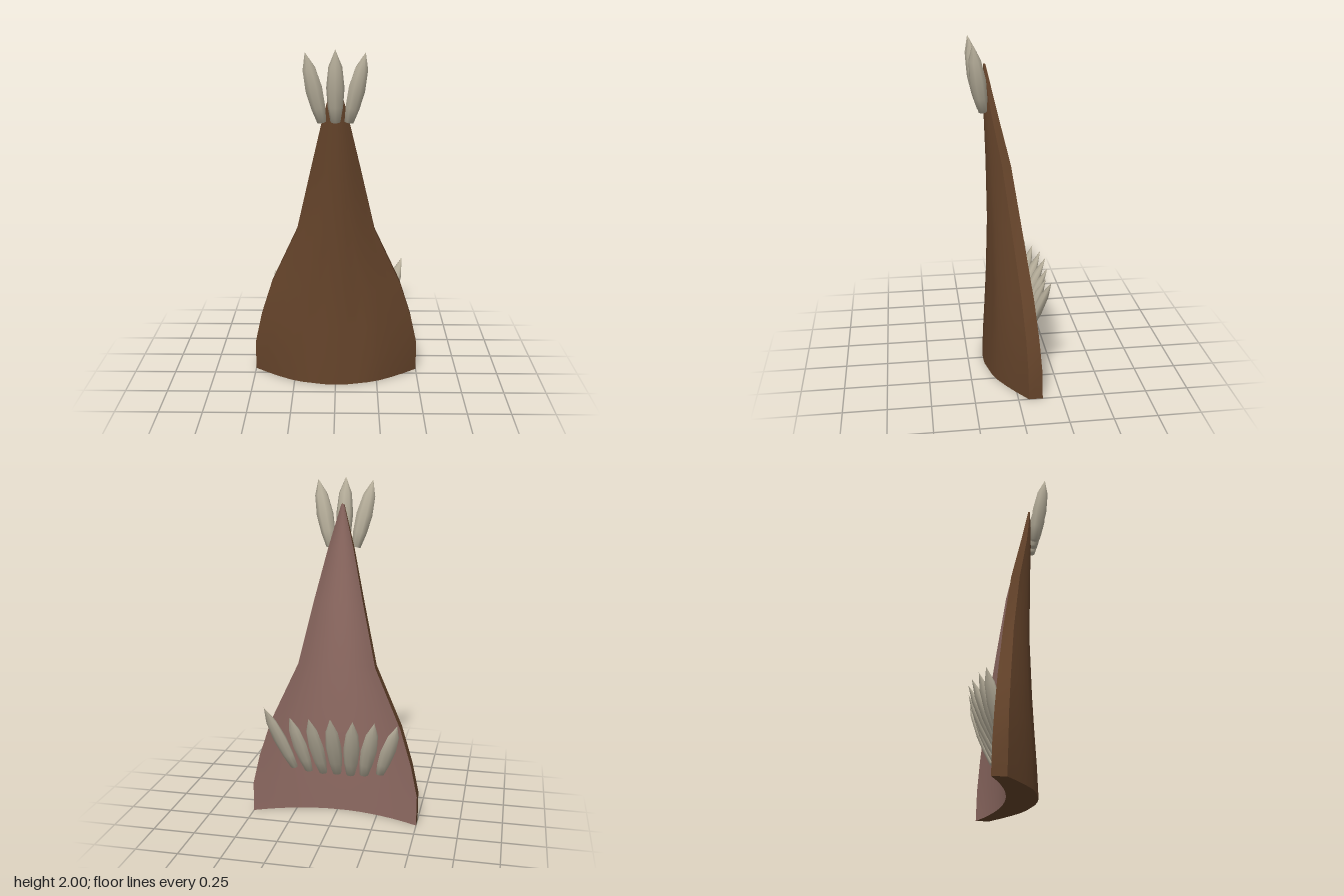
import * as THREE from 'three';

const V = (x, y, z) => new THREE.Vector3(x, y, z);

// Height, half width, front centre z, back centre z, back edge z, edge thickness, groove depth
const LEVELS = [
  [0, 0.5, 0.157, -0.02, -0.14, 0.08, 0.003],
  [0.18, 0.5, 0.15, -0.022, -0.135, 0.08, 0.008],
  [0.36, 0.46, 0.14, -0.02, -0.122, 0.075, 0.012],
  [0.58, 0.39, 0.13, -0.012, -0.1, 0.07, 0.01],
  [0.93, 0.23, 0.122, 0.01, -0.055, 0.06, 0],
  [1.3, 0.145, 0.128, 0.058, 0, 0.05, 0],
  [1.6, 0.075, 0.138, 0.105, 0.07, 0.035, 0],
  [1.85, 0.008, 0.137, 0.128, 0.125, 0.01, 0],
];

// Columns across half the width, with the fullness of the front arc at each
const COLUMNS = [[0, 1], [0.14, 0.985], [0.27, 0.93], [0.4, 0.845], [0.54, 0.72], [0.7, 0.5], [0.84, 0.28], [1, 0]];
const ACROSS = [
  ...COLUMNS.slice(1).reverse().map(([t, f]) => [-t, f]),
  ...COLUMNS,
];

// Surface through rows of points; it faces the viewer when columns run right and rows run up
function surface(rows, material, name, flip = false) {
  const n = rows[0].length;
  const index = [];
  for (let i = 0; i < rows.length - 1; i++) {
    for (let j = 0; j < n - 1; j++) {
      const a = i * n + j, b = a + 1, c = b + n, d = a + n;
      if (flip) index.push(a, c, b, a, d, c);
      else index.push(a, b, c, a, c, d);
    }
  }
  const geometry = new THREE.BufferGeometry().setFromPoints(rows.flat());
  geometry.setIndex(index);
  geometry.computeVertexNormals();
  const mesh = new THREE.Mesh(geometry, material);
  mesh.name = name;
  return mesh;
}

// Pointed bone leaf, one unit tall and one unit in radius
function toothGeometry() {
  const profile = [[0, 0], [0.55, 0], [0.85, 0.22], [1, 0.48], [0.75, 0.77], [0, 1]];
  return new THREE.LatheGeometry(profile.map(([r, y]) => new THREE.Vector2(r, y)), 8);
}

function tooth(geometry, material, name, base, tip, width, depth, turn = 0) {
  const up = tip.clone().sub(base);
  const length = up.length();
  up.normalize();
  const side = V(Math.cos(turn), 0, Math.sin(turn));
  side.addScaledVector(up, -side.dot(up)).normalize();
  const out = side.clone().cross(up);
  const mesh = new THREE.Mesh(geometry, material);
  mesh.quaternion.setFromRotationMatrix(new THREE.Matrix4().makeBasis(side, up, out));
  mesh.position.copy(base);
  mesh.scale.set(width, length, depth);
  mesh.name = name;
  return mesh;
}

export function createModel() {
  const hide = new THREE.MeshStandardMaterial({ color: 0x64432a });
  hide.name = 'brown hide';
  const flesh = new THREE.MeshStandardMaterial({ color: 0x8e6a62 });
  flesh.name = 'pink flesh';
  const bone = new THREE.MeshStandardMaterial({ color: 0xb8b09c });
  bone.name = 'bone';

  const model = new THREE.Group();
  model.name = 'toothedPetal';

  // Curved body: convex hide outside, concave flesh inside
  const front = LEVELS.map(([y, w, zf, , ze, thick, groove]) => ACROSS.map(([t, f]) => {
    const edge = ze + thick;
    const dip = Math.abs(Math.abs(t) - 0.27) < 0.01 ? groove : 0;
    return V(t * w, y, edge + (zf - edge) * f - dip);
  }));
  const back = LEVELS.map(([y, w, , zb, ze]) => ACROSS.map(([t]) =>
    V(t * w, y, ze + (zb - ze) * (1 - t * t))));
  const last = ACROSS.length - 1;
  const top = LEVELS.length - 1;
  const body = new THREE.Group();
  body.name = 'body';
  body.add(
    surface(front, hide, 'outerHide'),
    surface(back, flesh, 'innerFlesh', true),
    surface(front.map((r, i) => [r[last], back[i][last]]), hide, 'leftRim'),
    surface(front.map((r, i) => [back[i][0], r[0]]), hide, 'rightRim'),
    surface([back[0], front[0]], hide, 'bottomRim'),
    surface([front[top], back[top]], hide, 'tipRim'),
  );
  model.add(body);

  // Three claws at the tip
  const leaf = toothGeometry();
  const claws = new THREE.Group();
  claws.name = 'tipClaws';
  for (const s of [-1, 0, 1]) {
    claws.add(tooth(leaf, bone, 'claw', V(s * 0.075, 1.6, 0.15),
      V(s * 0.163, s ? 1.985 : 2, s ? 0.21 : 0.22), 0.05, 0.045, s * -0.4));
  }
  model.add(claws);

  // Row of teeth across the inner face
  const teeth = new THREE.Group();
  teeth.name = 'innerTeeth';
  const row = [
    [-0.27, 0.28, -0.07, -0.38, 0.62, -0.16],
    [-0.17, 0.26, -0.055, -0.252, 0.64, -0.19],
    [-0.085, 0.25, -0.045, -0.13, 0.65, -0.22],
    [0, 0.25, -0.04, 0, 0.66, -0.23],
    [0.085, 0.25, -0.045, 0.13, 0.65, -0.22],
    [0.17, 0.26, -0.055, 0.252, 0.64, -0.19],
    [0.26, 0.28, -0.065, 0.405, 0.69, -0.195],
  ];
  for (const [bx, by, bz, tx, ty, tz] of row) {
    teeth.add(tooth(leaf, bone, 'tooth', V(bx, by, bz), V(tx, ty, tz), 0.048, 0.03, bx * 1.6));
  }
  model.add(teeth);

  return model;
}
